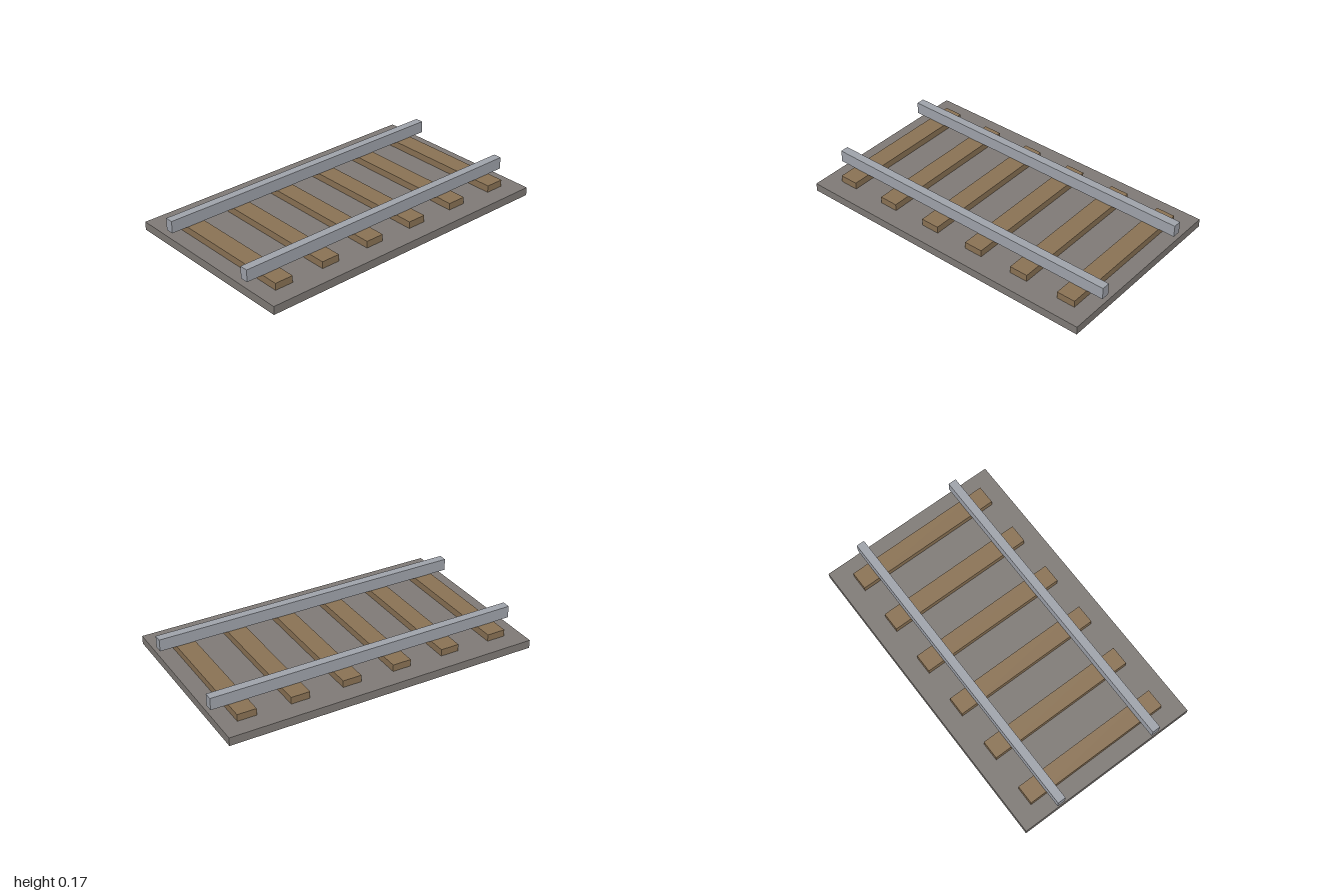
import * as THREE from 'three';

export function createModel() {
  const model = new THREE.Group();
  model.name = 'railwayTrack';

  const material = (name, color) => {
    const m = new THREE.MeshStandardMaterial({ color });
    m.name = name;
    return m;
  };
  const gravel = material('gravelGrey', 0x807b77);
  const wood = material('woodBrown', 0x8b7355);
  const steel = material('steelGrey', 0xa0a4ac);

  // Adds a box resting on height y
  const addBox = (name, mat, [w, h, d], x, y, z) => {
    const mesh = new THREE.Mesh(new THREE.BoxGeometry(w, h, d), mat);
    mesh.name = name;
    mesh.position.set(x, y + h / 2, z);
    model.add(mesh);
  };

  const bedHeight = 0.053;
  const sleeperHeight = 0.044;
  const railHeight = 0.077;

  // Gravel bed
  addBox('trackBed', gravel, [1.2, bedHeight, 2], 0, 0, 0);

  // Six evenly spaced sleepers
  const count = 6;
  for (let i = 0; i < count; i++) {
    const z = -1 + (i + 0.5) * (2 / count);
    addBox(`sleeper${i + 1}`, wood, [0.967, sleeperHeight, 0.12], 0, bedHeight, z);
  }

  // Pair of rails
  for (const side of [-1, 1]) {
    addBox(side > 0 ? 'leftRail' : 'rightRail', steel, [0.053, railHeight, 2],
      side * 0.347, bedHeight + sleeperHeight, 0);
  }

  return model;
}
